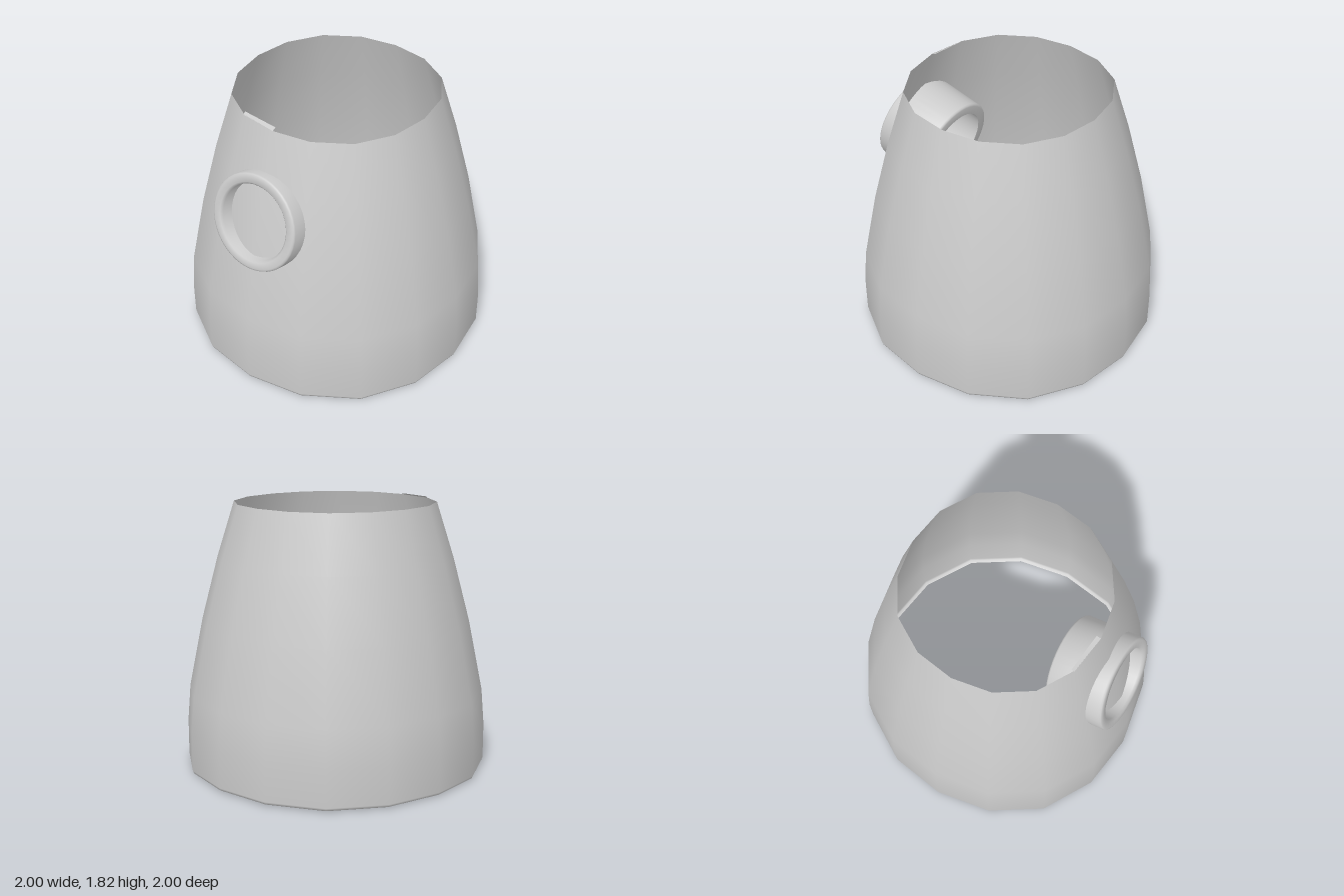
import * as THREE from 'three';
import { toCreasedNormals } from 'three/addons/utils/BufferGeometryUtils.js';

const points = (list) => list.map(([r, y]) => new THREE.Vector2(r, y));

export function createModel() {
  const group = new THREE.Group();
  const material = new THREE.MeshStandardMaterial({ color: 0xcccccc, side: THREE.DoubleSide });
  const add = (name, geometry) => {
    const mesh = new THREE.Mesh(geometry, material);
    mesh.name = name;
    group.add(mesh);
    return mesh;
  };

  // Open tapering shell with sixteen sides, slightly squared in plan
  const shell = new THREE.LatheGeometry(points([
    [0.975, 0], [0.993, 0.008], [1, 0.025], [1, 0.27], [0.98, 0.52],
    [0.885, 1.0], [0.775, 1.43], [0.66, 1.805],
  ]), 16);
  const pos = shell.attributes.position;
  for (let i = 0; i < pos.count; i++) {
    const x = pos.getX(i), z = pos.getZ(i);
    const k = 1 + 0.03 * Math.sin(2 * Math.atan2(x, z)) ** 2;
    pos.setX(i, x * k);
    pos.setZ(i, z * k);
  }
  add('shell', shell);

  // Hollow round spout piercing the side wall, tilted with the wall's slope
  const outer = 0.324, inner = 0.25, length = 0.41, b = 0.015;
  const ring = new THREE.LatheGeometry(points([
    [inner, -length], [outer - b, -length], [outer - b * 0.3, -length + b * 0.3],
    [outer, -length + b], [outer, -b], [outer - b * 0.3, -b * 0.3], [outer - b, 0],
    [inner + b, 0], [inner, -b], [inner, -length],
  ]), 40);
  const spout = add('sideSpout', toCreasedNormals(ring, 0.9));
  spout.position.set(-0.885, 1.245, 0);
  spout.rotation.z = 1.337;

  // Small raised flap on one segment of the top rim
  const flap = new THREE.BufferGeometry();
  flap.setAttribute('position', new THREE.Float32BufferAttribute([
    -0.66, 1.803, 0, -0.63, 1.815, 0, -0.6, 1.815, -0.265, -0.62, 1.803, -0.262,
  ], 3));
  flap.setIndex([0, 1, 2, 0, 2, 3]);
  flap.computeVertexNormals();
  add('rimFlap', flap);

  return group;
}
